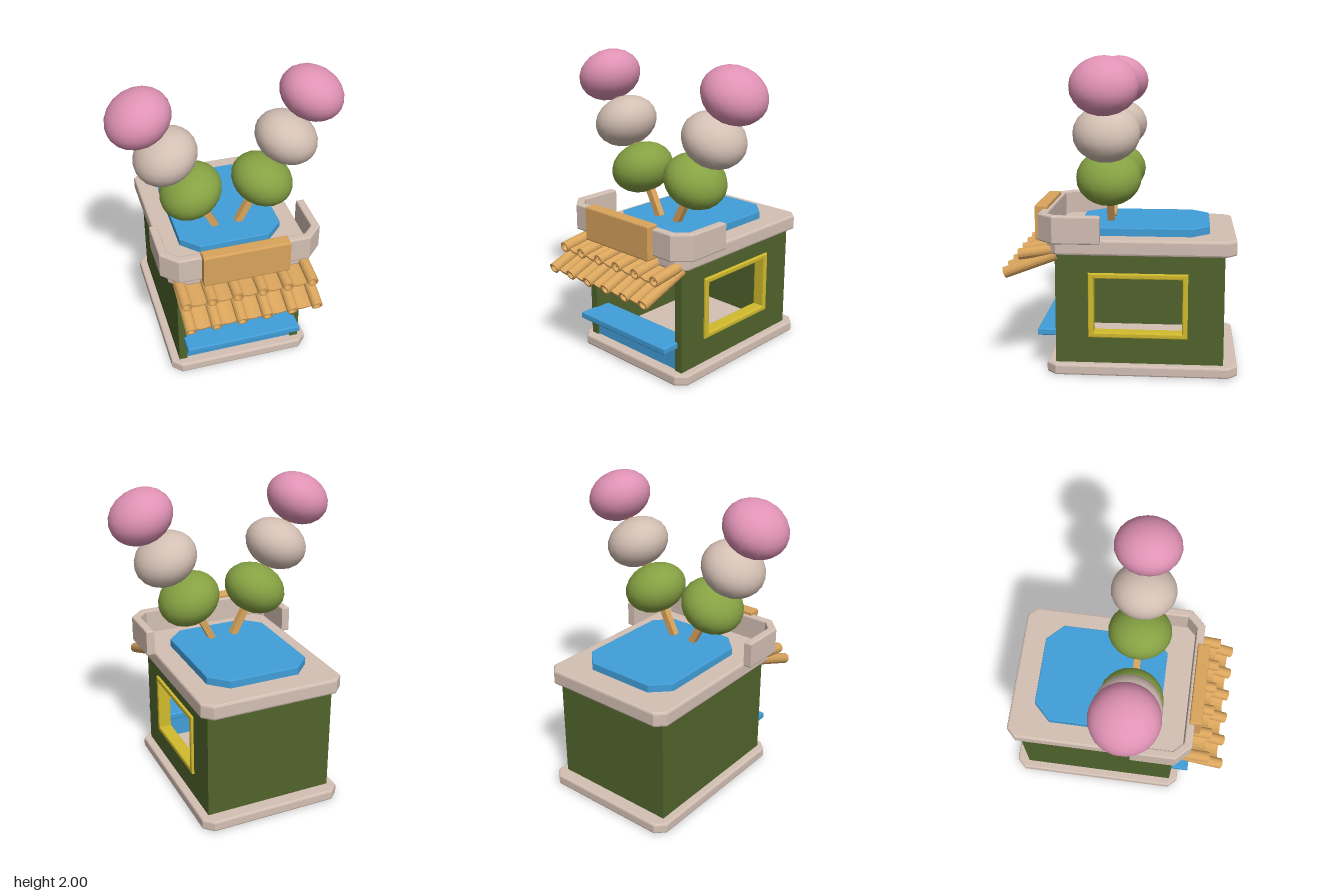
import * as THREE from 'three';

const mat = (name, color, double) => {
  const m = new THREE.MeshStandardMaterial({ color });
  m.name = name;
  if (double) m.side = THREE.DoubleSide;
  return m;
};

export function createModel() {
  const model = new THREE.Group();
  const cream = mat('cream', 0xd4c0b4);
  const wallGreen = mat('dark green', 0x50642c);
  const leafGreen = mat('leaf green', 0x86a243);
  const pink = mat('pink', 0xe092b5);
  const blue = mat('blue', 0x419fd9);
  const yellow = mat('yellow', 0xd2bb2e);
  const wood = mat('wood', 0xd9a45c);

  const add = (name, geo, material, parent = model) => {
    const m = new THREE.Mesh(geo, material);
    m.name = name;
    parent.add(m);
    return m;
  };
  const shapeOf = (pts) => new THREE.Shape(pts.map(([x, y]) => new THREE.Vector2(x, y)));
  const rect = (x0, x1, y0, y1) => [[x0, y0], [x1, y0], [x1, y1], [x0, y1]];
  const chamfered = (x, z0, z1, c) => [
    [-x + c, z0], [x - c, z0], [x, z0 + c], [x, z1 - c],
    [x - c, z1], [-x + c, z1], [-x, z1 - c], [-x, z0 + c],
  ];
  const extrude = (shape, depth, bevel = 0) => new THREE.ExtrudeGeometry(shape, {
    depth: depth - 2 * bevel, bevelEnabled: bevel > 0, bevelThickness: bevel,
    bevelSize: bevel, bevelOffset: -bevel, bevelSegments: 2, curveSegments: 8,
  }).translate(0, 0, bevel);
  // Outline in (x, z), spanning y0 to y1
  const slab = (name, pts, y0, y1, bevel, material) =>
    add(name, extrude(shapeOf(pts), y1 - y0, bevel).rotateX(Math.PI / 2).translate(0, y1, 0), material);
  // Bevelled box from its limits
  const block = (name, x0, x1, y0, y1, z0, z1, bevel, material) =>
    slab(name, rect(x0, x1, z0, z1), y0, y1, bevel, material);
  // Outline in (z, y) with a rectangular opening, spanning x0 to x1
  const sidePanel = (name, outer, hole, x0, x1, bevel, material) => {
    const s = shapeOf(outer);
    s.holes.push(shapeOf(hole));
    return add(name, extrude(s, x1 - x0, bevel).rotateY(-Math.PI / 2).translate(x1, 0, 0), material);
  };

  // Base, roof and roof inset
  slab('base', chamfered(0.482, -0.745, 0.465, 0.06), 0, 0.07, 0.012, cream);
  slab('roof', chamfered(0.478, -0.73, 0.458, 0.06), 0.78, 0.88, 0.014, cream);
  slab('roofInset', chamfered(0.345, -0.565, 0.28, 0.112), 0.87, 0.932, 0.006, blue);

  // Walls; the model's left one has a window
  block('backWall', -0.428, 0.428, 0.06, 0.79, -0.657, -0.6, 0, wallGreen);
  block('rightWall', -0.428, -0.373, 0.06, 0.79, -0.6, 0.408, 0, wallGreen);
  sidePanel('leftWall', rect(-0.6, 0.408, 0.06, 0.79), rect(-0.41, 0.18, 0.26, 0.64), 0.373, 0.428, 0, wallGreen);
  sidePanel('windowFrame', rect(-0.43, 0.2, 0.24, 0.66), rect(-0.395, 0.165, 0.275, 0.625), 0.358, 0.445, 0.008, yellow);

  // Counter
  block('counterFront', -0.373, 0.373, 0.06, 0.24, 0.35, 0.395, 0, blue);
  block('counterTop', -0.392, 0.392, 0.23, 0.275, 0.3, 0.53, 0.008, blue);

  // Parapet wrapped round the front of the roof
  slab('parapet', [
    [-0.53, 0.115], [-0.53, 0.41], [-0.43, 0.51], [0.43, 0.51], [0.53, 0.41], [0.53, 0.115],
    [0.475, 0.115], [0.475, 0.39], [0.41, 0.455], [-0.41, 0.455], [-0.475, 0.39], [-0.475, 0.115],
  ], 0.86, 1.036, 0.01, cream);
  block('signBoard', -0.283, 0.283, 0.834, 1.062, 0.473, 0.557, 0.01, wood);

  // Awning: two rows of pipes with sagging tiles between them
  const pipe = new THREE.Shape().absarc(0, 0, 0.036, 0, Math.PI * 2);
  pipe.holes.push(new THREE.Path().absarc(0, 0, 0.025, 0, Math.PI * 2, true));
  const trough = new THREE.Shape();
  trough.moveTo(-0.083, 0.01);
  trough.quadraticCurveTo(0, -0.06, 0.083, 0.01);
  trough.lineTo(0.083, -0.004);
  trough.quadraticCurveTo(0, -0.075, -0.083, -0.004);
  const step = 0.166;
  const awningRow = (name, y, z, angle, length) => {
    const row = new THREE.Group();
    row.name = name;
    row.position.set(0, y, z);
    row.rotation.x = angle;
    for (let i = 0; i < 6; i++) {
      const x = (i - 2.5) * step;
      add('awningPipe', extrude(pipe, length), wood, row).position.x = x;
      if (i < 5) add('awningTile', extrude(trough, length - 0.02), wood, row).position.x = x + step / 2;
    }
    model.add(row);
  };
  awningRow('lowerAwning', 0.772, 0.4, 0.36, 0.354);
  awningRow('upperAwning', 0.802, 0.425, 0.15, 0.215);

  // Skewers of three dumplings, leaning outwards
  const ball = new THREE.IcosahedronGeometry(1, 3);
  const tilt = Math.atan2(0.153, 0.293);
  for (const side of [-1, 1]) {
    const skewer = new THREE.Group();
    skewer.name = side > 0 ? 'leftSkewer' : 'rightSkewer';
    skewer.position.set(side * 0.24, 1.24, 0.082);
    skewer.rotation.z = -side * tilt;
    [leafGreen, cream, pink].forEach((m, i) => {
      const d = add('dumpling', ball, m, skewer);
      d.position.y = i * 0.331;
      d.scale.set(0.21, 0.167, 0.21);
    });
    add('stick', new THREE.BoxGeometry(0.045, 1, 0.045).translate(0, 0.15, 0), wood, skewer);
    model.add(skewer);
  }
  return model;
}
